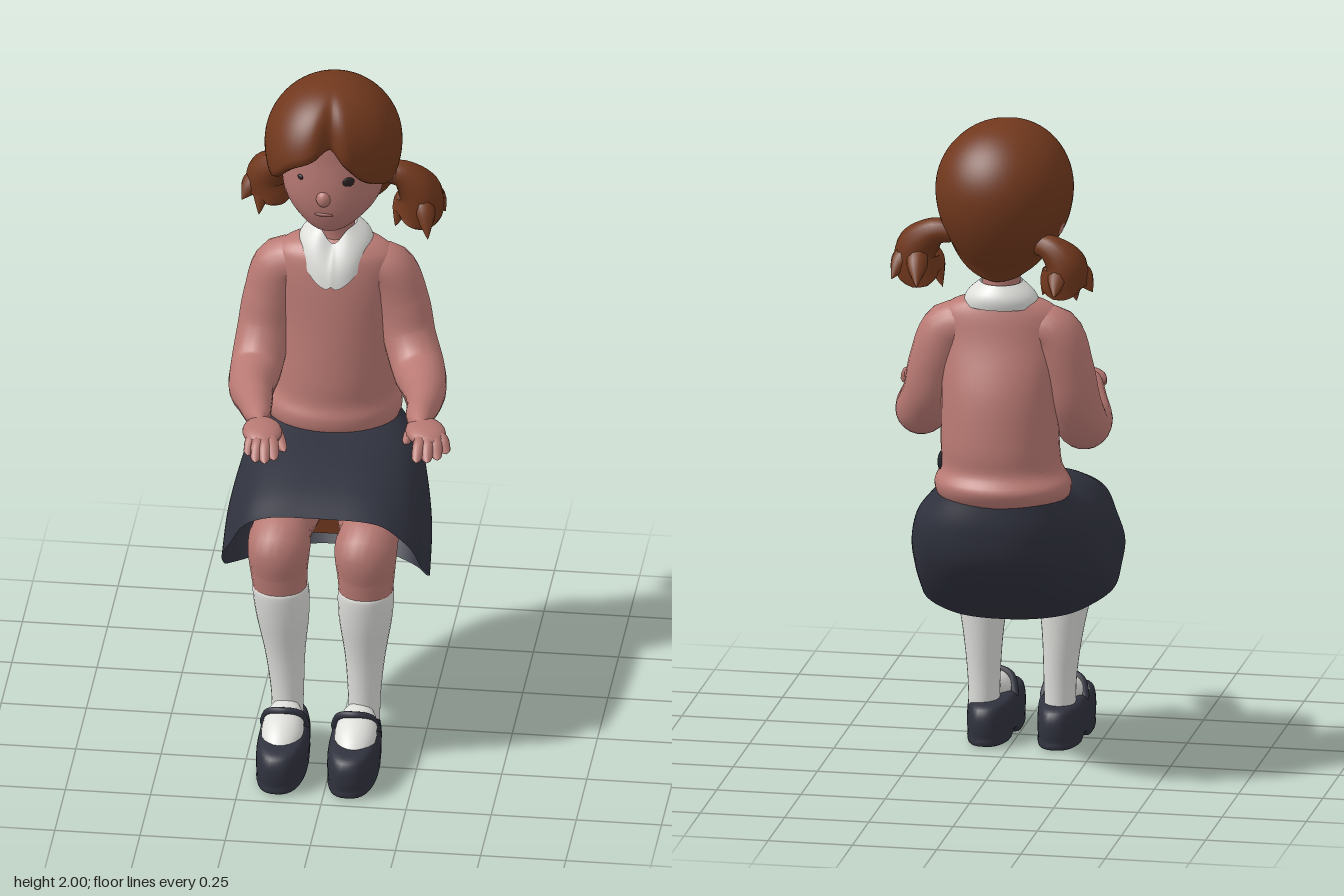
import * as THREE from 'three';

const mat = (name, color, side = THREE.FrontSide) =>
  Object.assign(new THREE.MeshStandardMaterial({ color, side }), { name });
const bump = (x, centre, width) => Math.exp(-(((x - centre) / width) ** 2));
const power = (x, e) => Math.sign(x) * Math.abs(x) ** e;

// Smooth interpolation through rows of numbers, t from 0 to 1
function spline(rows, t) {
  const n = rows.length, s = t * (n - 1), i = Math.min(Math.floor(s), n - 2), f = s - i;
  const p = rows[Math.max(i - 1, 0)], a = rows[i], b = rows[i + 1], q = rows[Math.min(i + 2, n - 1)];
  return a.map((v, k) => v + 0.5 * f * (b[k] - p[k] + f * (2 * p[k] - 5 * v + 4 * b[k] - q[k] +
    f * (3 * (v - b[k]) + q[k] - p[k]))));
}

// Surface of closed loops stacked upward; fn(u, a) gives a point, a = 0 is the front
function loft(nu, na, fn) {
  const pos = [], idx = [];
  for (let i = 0; i <= nu; i++) for (let j = 0; j < na; j++) {
    let a = (j / na) * Math.PI * 2;
    if (a > Math.PI) a -= Math.PI * 2;
    pos.push(...fn(i / nu, a));
    if (i === nu) continue;
    const k = (j + 1) % na, p = i * na, q = p + na;
    idx.push(p + j, p + k, q + k, p + j, q + k, q + j);
  }
  const g = new THREE.BufferGeometry();
  g.setAttribute('position', new THREE.Float32BufferAttribute(pos, 3));
  g.setIndex(idx);
  g.computeVertexNormals();
  return g;
}

// Elliptical column from rows of [y, centre x, centre z, radius x, radius z]
const column = (rows, nu = 28, na = 36) => loft(nu, na, (u, a) => {
  const [y, cx, cz, rx, rz] = spline(rows, u);
  return [cx + rx * Math.sin(a), y, cz + rz * Math.cos(a)];
});

// Rounded limb through [x, y, z, radius] points
function limb(pts, seg = 32, sides = 18) {
  const curve = new THREE.CatmullRomCurve3(pts.map(p => new THREE.Vector3(p[0], p[1], p[2])));
  const g = new THREE.TubeGeometry(curve, seg, 1, sides);
  const P = g.attributes.position, N = g.attributes.normal, c = new THREE.Vector3();
  for (let i = 0; i <= seg; i++) {
    const u = i / seg;
    curve.getPointAt(u, c);
    const ends = i === 0 || i === seg ? 0 : i === 1 || i === seg - 1 ? 0.8 : 1;
    const r = ends * Math.max(0.001, spline(pts.map(p => [p[3]]), Math.min(1, curve.getUtoTmapping(u)))[0]);
    for (let j = 0; j <= sides; j++) {
      const k = i * (sides + 1) + j;
      P.setXYZ(k, c.x + r * N.getX(k), c.y + r * N.getY(k), c.z + r * N.getZ(k));
    }
  }
  return g;
}

export function createModel() {
  const model = new THREE.Group();
  model.name = 'seatedGirl';
  const skin = mat('skin', 0xb67872), knit = mat('sweater', 0xba7a74), hairMat = mat('hair', 0x71381d);
  const navy = mat('navy', 0x30323e), skirtMat = mat('skirt', 0x30323e, THREE.DoubleSide);
  const white = mat('white', 0xdededb, THREE.DoubleSide), dark = mat('eye', 0x2b2224), lip = mat('lip', 0x8f5552);
  const add = (name, geo, m, parent = model) => {
    const mesh = new THREE.Mesh(geo, m);
    mesh.name = name;
    parent.add(mesh);
    return mesh;
  };
  const ball = (name, m, p, s, parent) => {
    const b = add(name, new THREE.SphereGeometry(1, 20, 14), m, parent);
    b.position.set(...p);
    b.scale.set(...s);
    return b;
  };

  // Sweater body with a gathered hem and one dark patch
  add('sweater', column([
    [0.87, -0.06, -0.29, 0.17, 0.14], [0.89, -0.06, -0.29, 0.195, 0.165], [0.93, -0.06, -0.295, 0.2, 0.176],
    [0.975, -0.055, -0.288, 0.178, 0.157], [1.05, -0.05, -0.288, 0.174, 0.157], [1.2, -0.048, -0.283, 0.172, 0.142],
    [1.34, -0.05, -0.265, 0.182, 0.111], [1.42, -0.05, -0.262, 0.18, 0.094], [1.455, -0.05, -0.265, 0.15, 0.08],
    [1.475, -0.05, -0.27, 0.1, 0.068], [1.49, -0.05, -0.27, 0.05, 0.05]], 48), knit);
  ball('sidePatch', navy, [0.119, 0.985, -0.32], [0.008, 0.027, 0.038]);

  // Skirt: each row is front y z, side y z width, back y z, centre x
  const skirtRows = [
    [0.81, 0.25, 0.57, 0.11, 0.302, 0.48, -0.21, -0.035], [0.845, 0.16, 0.66, -0.03, 0.297, 0.57, -0.32, -0.04],
    [0.87, 0.06, 0.75, -0.15, 0.275, 0.69, -0.425, -0.045], [0.885, -0.03, 0.82, -0.24, 0.245, 0.8, -0.452, -0.05],
    [0.895, -0.13, 0.89, -0.29, 0.19, 0.89, -0.445, -0.06]];
  add('skirt', loft(24, 120, (u, a) => {
    const [fy, fz, sy, sz, rx, by, bz, cx] = spline(skirtRows, u);
    const c = Math.cos(a), s = Math.sin(a);
    const bend = (f, m, b) => m + (f - b) / 2 * c + ((f + b) / 2 - m) * c * c;
    const fold = 1 + 0.014 * (1 - u) * Math.sin(a * 9);
    const e = 0.85 - 0.42 * Math.sqrt(Math.max(0, c)) * (1 - u);
    return [cx + rx * fold * power(s, e), bend(fy, sy, by), bend(fz, sz, bz)];
  }), skirtMat);
  add('skirtLining', new THREE.BoxGeometry(0.15, 0.17, 0.008), hairMat).position.set(-0.03, 0.715, 0.0);

  // Neck and collar meeting in a point
  add('neck', column([[1.42, -0.05, -0.265, 0.06, 0.062], [1.5, -0.05, -0.272, 0.055, 0.058],
    [1.62, -0.052, -0.26, 0.06, 0.065]], 10, 24), skin);
  add('collar', loft(8, 96, (u, a) => {
    const c = Math.cos(a), front = Math.max(0, c);
    const low = 1.455 - 0.098 * front ** 2 + 0.012 * bump(a, 0, 0.07);
    const y = low + (1.525 - 0.045 * front ** 8 - low) * u;
    const puff = 0.014 * Math.sin(Math.PI * u);
    const rx = 0.11 + (0.062 - 0.11) * u + puff;
    const rz = (c > 0 ? 0.135 : 0.088) * (1 - u) + (c > 0 ? 0.072 : 0.064) * u + puff;
    return [-0.05 + rx * Math.sin(a), y, -0.272 + rz * c];
  }), white);

  // Arms bent forward, each with a loosely spread hand
  const arms = {
    left: {
      path: [[0.04, 1.385, -0.265, 0.06], [0.1, 1.372, -0.267, 0.08], [0.143, 1.27, -0.262, 0.081], [0.168, 1.17, -0.24, 0.078],
        [0.205, 1.095, -0.17, 0.077], [0.233, 1.085, -0.07, 0.065], [0.245, 1.097, 0.04, 0.051], [0.245, 1.105, 0.14, 0.039], [0.255, 1.1, 0.18, 0.032]],
      palm: [0.27, 1.09, 0.195], yaw: 0.35, thumb: [[0.235, 1.09, 0.14], [0.21, 1.055, 0.215]],
      tips: [[0.256, 1.048, 0.312], [0.287, 1.046, 0.305], [0.316, 1.046, 0.284], [0.338, 1.05, 0.25]]
    },
    right: {
      path: [[-0.14, 1.385, -0.265, 0.06], [-0.205, 1.372, -0.267, 0.08], [-0.24, 1.27, -0.262, 0.081], [-0.258, 1.165, -0.24, 0.079],
        [-0.272, 1.075, -0.17, 0.076], [-0.274, 1.06, -0.07, 0.067], [-0.25, 1.078, 0.05, 0.053], [-0.226, 1.1, 0.17, 0.039], [-0.215, 1.1, 0.21, 0.032]],
      palm: [-0.203, 1.09, 0.25], yaw: 0.2, thumb: [[-0.18, 1.09, 0.2], [-0.13, 1.055, 0.305]],
      tips: [[-0.155, 1.052, 0.355], [-0.182, 1.047, 0.37], [-0.21, 1.047, 0.365], [-0.236, 1.05, 0.33]]
    }
  };
  for (const [side, arm] of Object.entries(arms)) {
    add(side + 'Arm', limb(arm.path, 48, 22), knit);
    const hand = new THREE.Group();
    hand.name = side + 'Hand';
    model.add(hand);
    ball('palm', skin, arm.palm, [0.058, 0.028, 0.078], hand).rotation.y = arm.yaw;
    const [px, py, pz] = arm.palm;
    for (const [x, y, z] of arm.tips) {
      const bx = px + (x - px) * 0.6, bz = pz + (z - pz) * 0.3;
      add('finger', limb([[bx, py, bz, 0.018], [(bx + x) / 2, py - 0.008, (bz + z) / 2, 0.019], [x, y, z, 0.014]], 12, 10), skin, hand);
    }
    const [b, t] = arm.thumb;
    add('thumb', limb([[...b, 0.02], [...b.map((v, k) => (v + t[k]) / 2), 0.019], [...t, 0.011]], 12, 10), skin, hand);
  }

  // Legs, socks and strap shoes
  for (const [side, knee, ankle, toe] of [['left', 0.095, 0.088, 0.072], ['right', -0.16, -0.138, -0.137]]) {
    const hip = side === 'left' ? 0.04 : -0.14;
    add(side + 'Leg', limb([[hip, 0.69, -0.28, 0.1], [(hip + knee) / 2, 0.695, -0.05, 0.092], [knee, 0.7, 0.12, 0.087],
      [knee, 0.69, 0.2, 0.092], [knee, 0.61, 0.197, 0.084], [knee + (ankle - knee) * 0.2, 0.53, 0.19, 0.078]], 48, 24), skin);
    add(side + 'Sock', column([[0.08, ankle, 0.178, 0.045, 0.056], [0.2, ankle, 0.175, 0.048, 0.056],
      [0.33, ankle + (knee - ankle) * 0.3, 0.175, 0.059, 0.066], [0.46, ankle + (knee - ankle) * 0.6, 0.183, 0.078, 0.083],
      [0.55, ankle + (knee - ankle) * 0.85, 0.188, 0.082, 0.088], [0.555, ankle + (knee - ankle) * 0.85, 0.188, 0.07, 0.075]], 24, 28), white);

    const shoe = new THREE.Group();
    shoe.name = side + 'Shoe';
    model.add(shoe);
    const rows = [[0, 0.02], [0.002, 0.9], [0.03, 0.98], [0.07, 1], [0.102, 0.97], [0.122, 0.87], [0.13, 0.6], [0.13, 0.02]];
    add('shoeBody', loft(28, 40, (u, a) => {
      const [y, k] = spline(rows, u), s = Math.sin(a), c = Math.cos(a);
      const z = 0.27 + 0.2 * k * power(c, 0.9);
      const x = toe + 0.074 * k * (1 + 0.06 * c) * power(s, 0.76);
      return [x, Math.max(0, y) + 0.035 * (1 - u) * bump(z, 0.215, 0.03), z];
    }), navy, shoe);
    ball('instep', white, [(toe * 2 + ankle) / 3, 0.13, 0.295], [0.062, 0.05, 0.122], shoe).rotation.x = 0.33;
    add('strap', limb([[toe - 0.066, 0.11, 0.24, 0.012], [toe - 0.046, 0.172, 0.27, 0.011], [toe, 0.186, 0.285, 0.011],
      [toe + 0.046, 0.172, 0.27, 0.011], [toe + 0.066, 0.11, 0.24, 0.012]], 24, 10), navy, shoe);
  }

  // Head, turned slightly to its right
  const head = new THREE.Group();
  head.name = 'head';
  head.position.set(-0.055, 0, -0.25);
  head.rotation.y = -0.1;
  model.add(head);
  add('face', column([[1.54, 0, 0.055, 0.005, 0.005], [1.55, 0, 0.052, 0.05, 0.05], [1.59, 0, 0.035, 0.1, 0.09],
    [1.64, 0, 0.015, 0.138, 0.122], [1.7, 0, 0, 0.152, 0.14], [1.78, 0, -0.01, 0.158, 0.143],
    [1.87, 0, -0.015, 0.145, 0.14], [1.93, 0, -0.015, 0.08, 0.08]], 36), skin, head);
  ball('nose', skin, [0, 1.672, 0.133], [0.022, 0.026, 0.022], head);
  ball('mouth', lip, [0, 1.618, 0.132], [0.028, 0.006, 0.006], head);
  for (const s of [-1, 1]) {
    const eye = ball('eye', dark, [s * 0.072, 1.73, 0.122], [s > 0 ? 0.018 : 0.01, s > 0 ? 0.015 : 0.008, 0.005], head);
    eye.rotation.y = s * 0.5;
    ball('ear', skin, [s * 0.165, 1.71, -0.01], [0.02, 0.038, 0.026], head);
  }

  // Hair cap: high at the parting, narrowing to the nape, rim turned inward
  const rim = [[1.84], [1.815], [1.755], [1.725], [1.7], [1.62], [1.58], [1.565], [1.56]];
  add('hair', loft(34, 80, (u, a) => {
    const w = 1 - u, v = Math.min(1, w / 0.88), tuck = Math.max(0, (w - 0.88) / 0.12);
    const edge = spline(rim, Math.abs(a) / Math.PI)[0] + 0.03 * bump(a, 0.15, 0.2);
    const y = 2 - (2 - edge) * v * v, front = Math.max(0, Math.cos(a));
    const r = y > 1.8 ? Math.max(0, 1 - ((y - 1.8) / 0.2) ** 2) ** (0.5 - 0.09 * front) : 1 - 0.48 * ((1.8 - y) / 0.23) ** 2;
    const shape = 1 + v * (0.09 * bump(a, -0.5, 0.5) - 0.13 * bump(a, 0.65, 0.45) - 0.19 * bump(a, 0.17, 0.17));
    const k = r * shape * (1 - 0.4 * tuck * tuck);
    return [0.2 * k * Math.sin(a), y - 0.022 * Math.sin(Math.PI * tuck), 0.21 * k * Math.cos(a)];
  }), hairMat, head);

  // Pigtails: a full bunch with pointed tufts
  const bunches = {
    left: [[[0.07, 1.67, -0.3, 0.03], [0.14, 1.67, -0.3, 0.042], [0.19, 1.62, -0.295, 0.066], [0.185, 1.55, -0.295, 0.07], [0.165, 1.5, -0.29, 0.03]],
      [[0.262, 1.53, -0.345], [0.225, 1.5, -0.22], [0.12, 1.5, -0.29], [0.18, 1.52, -0.385]]],
    right: [[[-0.16, 1.66, -0.33, 0.03], [-0.22, 1.65, -0.36, 0.042], [-0.26, 1.61, -0.375, 0.064], [-0.255, 1.55, -0.375, 0.066], [-0.265, 1.505, -0.37, 0.03]],
      [[-0.338, 1.525, -0.35], [-0.285, 1.49, -0.33], [-0.195, 1.52, -0.39], [-0.24, 1.53, -0.45]]]
  };
  for (const [side, [path, tips]] of Object.entries(bunches)) {
    const tail = new THREE.Group();
    tail.name = side + 'Pigtail';
    model.add(tail);
    add('bunch', limb(path, 24, 16), hairMat, tail);
    const [x, y, z] = path[2];
    for (const t of tips)
      add('tuft', limb([[x, y, z, 0.03], [x + (t[0] - x) * 0.6, y - 0.035, z + (t[2] - z) * 0.6, 0.034], [...t, 0.004]], 14, 10), hairMat, tail);
  }
  return model;
}
